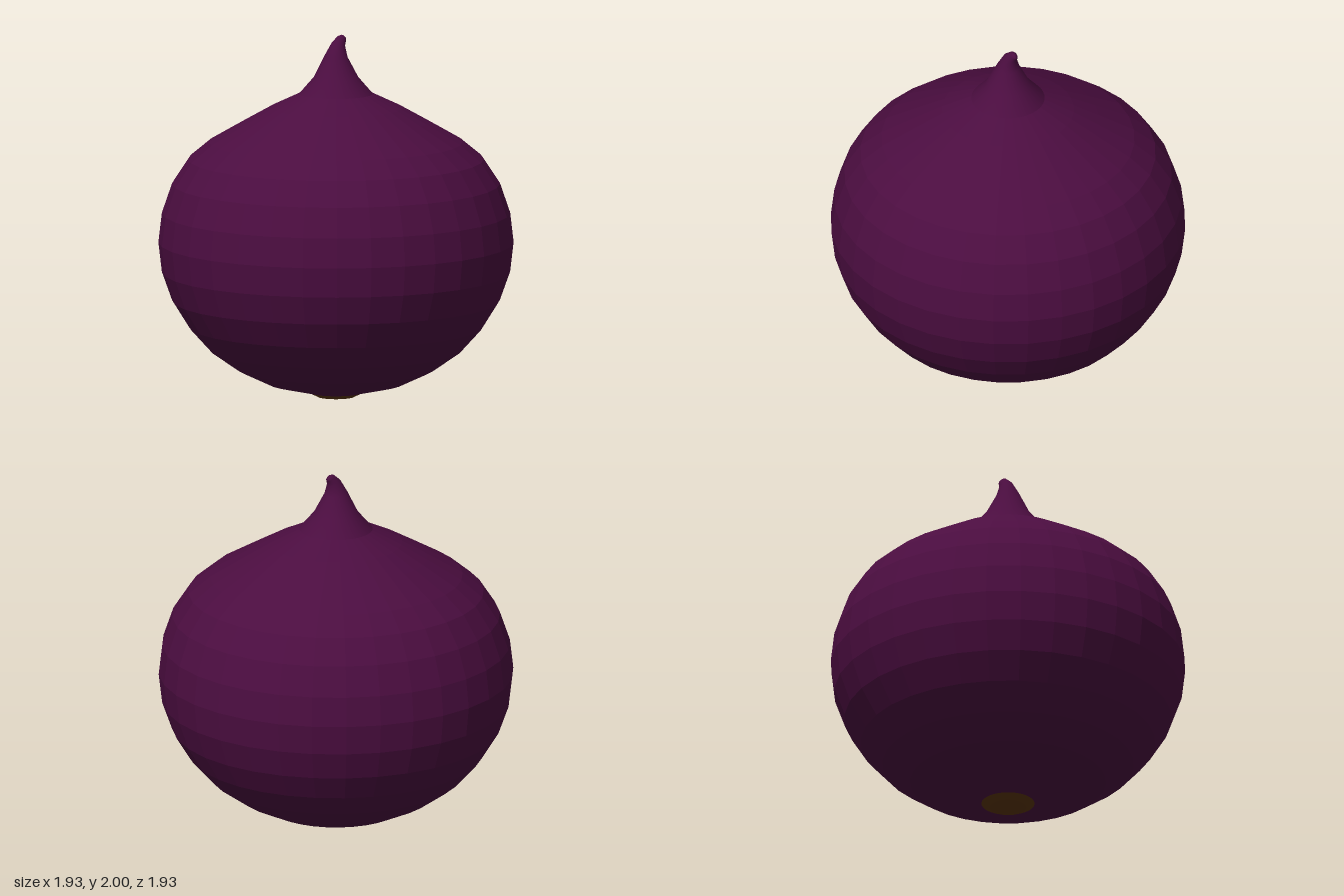
import * as THREE from 'three';

const SIDES = 32;

// Lathe from [radius, height] pairs, listed from bottom to top
function turned(name, profile, material) {
  const points = profile.map(([r, y]) => new THREE.Vector2(r, y));
  let geometry = new THREE.LatheGeometry(points, SIDES);
  geometry = geometry.toNonIndexed();
  geometry.computeVertexNormals(); // faceted skin
  const mesh = new THREE.Mesh(geometry, material);
  mesh.name = name;
  return mesh;
}

// Stem: rings whose centre shifts and leans towards +x, closed at the tip
function stemGeometry() {
  // [centre x, centre y, radius along x, radius along z, rise of the -x edge]
  const rings = [
    [0, 1.68, 0.2, 0.2, 0],
    [0, 1.77, 0.122, 0.122, 0],
    [0, 1.885, 0.063, 0.063, 0.005],
    [0.018, 1.95, 0.037, 0.036, 0.012],
    [0.046, 1.982, 0.024, 0.022, 0.013],
    [0.06, 1.988, 0.013, 0.011, 0.011],
    [0.064, 1.99, 0, 0, 0],
  ];
  const position = [], index = [];
  for (const [cx, cy, rx, rz, lean] of rings) {
    for (let i = 0; i < SIDES; i++) {
      const a = (i / SIDES) * Math.PI * 2;
      position.push(cx + rx * Math.sin(a), cy - lean * Math.sin(a), rz * Math.cos(a));
    }
  }
  for (let j = 0; j < rings.length - 1; j++) {
    for (let i = 0; i < SIDES; i++) {
      const a = j * SIDES + i, b = j * SIDES + ((i + 1) % SIDES);
      index.push(a, b, b + SIDES, a, b + SIDES, a + SIDES);
    }
  }
  const geometry = new THREE.BufferGeometry();
  geometry.setAttribute('position', new THREE.Float32BufferAttribute(position, 3));
  geometry.setIndex(index);
  geometry.computeVertexNormals();
  return geometry;
}

export function createModel() {
  const group = new THREE.Group();
  group.name = 'onion';
  const skin = new THREE.MeshStandardMaterial({ color: 0x4b0d40 });
  skin.name = 'purple skin';
  const rootBrown = new THREE.MeshStandardMaterial({ color: 0x5e3609 });
  rootBrown.name = 'root brown';

  // Round bulb with a sloping shoulder
  group.add(turned('bulb', [
    [0.145, 0.035], [0.19, 0.046], [0.37, 0.087], [0.535, 0.165], [0.685, 0.27],
    [0.803, 0.4], [0.892, 0.543], [0.948, 0.7], [0.967, 0.863], [0.948, 1.025],
    [0.893, 1.186], [0.805, 1.32], [0.69, 1.415], [0.5, 1.525], [0.36, 1.604], [0.2, 1.68],
  ], skin));

  // Bent stem tip
  const stem = new THREE.Mesh(stemGeometry(), skin);
  stem.name = 'stem';
  group.add(stem);

  // Shallow root plate underneath
  group.add(turned('rootPlate', [
    [0, 0], [0.1, 0.012], [0.145, 0.035],
  ], rootBrown));

  return group;
}
